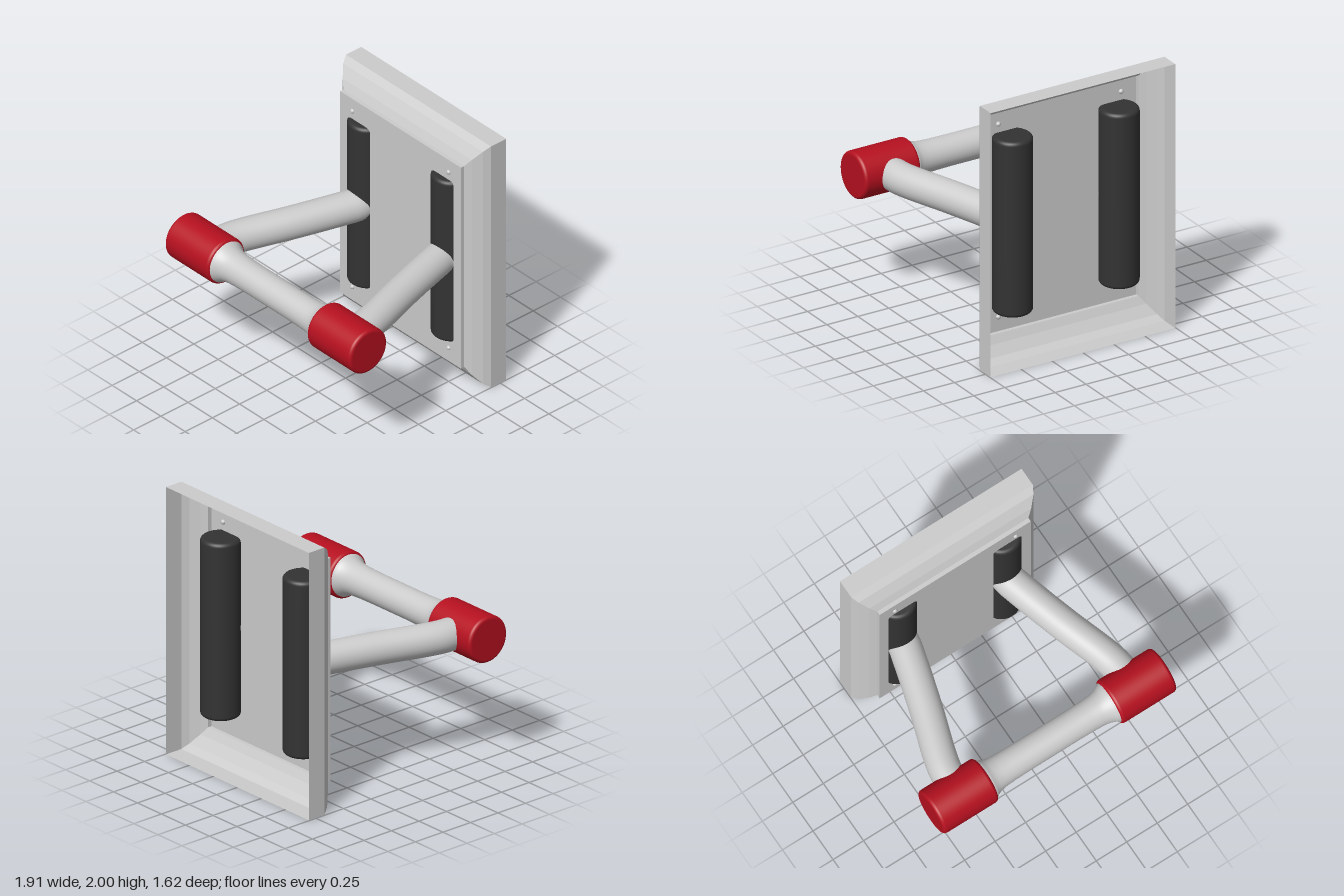
import * as THREE from 'three';

const grey = new THREE.MeshStandardMaterial({ color: 0xcccccc });
const greyShell = new THREE.MeshStandardMaterial({ color: 0xcccccc, flatShading: true, side: THREE.DoubleSide });
const red = new THREE.MeshStandardMaterial({ color: 0xb5101f });
const black = new THREE.MeshStandardMaterial({ color: 0x333333 });

const MID = 1; // height of the bar and centre of the plate
const BAR_Z = 0.64;

function add(parent, name, geometry, material, x = 0, y = 0, z = 0) {
  const mesh = new THREE.Mesh(geometry, material);
  mesh.name = name;
  mesh.position.set(x, y, z);
  parent.add(mesh);
  return mesh;
}

// Open rectangular shell from rings of [halfWidth, halfHeight, z], back to front
function shell(rings, capFront) {
  const corners = ([w, h, z]) => [[-w, -h, z], [w, -h, z], [w, h, z], [-w, h, z]];
  const pos = [];
  const quad = (a, b, c, d) => pos.push(...a, ...b, ...c, ...a, ...c, ...d);
  for (let r = 0; r < rings.length - 1; r++) {
    const a = corners(rings[r]), b = corners(rings[r + 1]);
    for (let i = 0; i < 4; i++) {
      const j = (i + 1) % 4;
      quad(a[i], a[j], b[j], b[i]);
    }
  }
  if (capFront) quad(...corners(rings[rings.length - 1]));
  const geometry = new THREE.BufferGeometry();
  geometry.setAttribute('position', new THREE.Float32BufferAttribute(pos, 3));
  geometry.computeVertexNormals();
  return geometry;
}

// Solid cylinder along y with small rounded rims
function roundedCylinder(radius, length, rim) {
  const pts = [new THREE.Vector2(0, -length / 2)];
  const arc = (cy, from) => {
    for (let i = 0; i <= 5; i++) {
      const a = from + (i / 5) * Math.PI / 2;
      pts.push(new THREE.Vector2(radius - rim + rim * Math.cos(a), cy + rim * Math.sin(a)));
    }
  };
  arc(-length / 2 + rim, -Math.PI / 2);
  arc(length / 2 - rim, 0);
  pts.push(new THREE.Vector2(0, length / 2));
  return new THREE.LatheGeometry(pts, 48);
}

export function createModel() {
  const model = new THREE.Group();
  model.name = 'wallMountedHandle';

  // Bevelled frame, open at the back
  const bevel = [[0, -0.81], [0, -0.67], [0.22, -0.62], [0.65, -0.566], [1, -0.535]];
  const frameRings = bevel.map(([t, z]) => [0.745 - 0.125 * t, 1 - 0.165 * t, z]);
  add(model, 'frame', shell(frameRings, false), greyShell, 0, MID, 0);

  // Raised front panel
  add(model, 'panel', shell([[0.62, 0.835, -0.535], [0.62, 0.835, -0.505]], true), greyShell, 0, MID, 0);

  // Grip bar, flaring out where it meets the end caps
  const half = [[0, 0.11], [0.18, 0.11], [0.32, 0.112], [0.4, 0.116], [0.45, 0.124], [0.485, 0.138], [0.505, 0.155], [0.56, 0.155]];
  const profile = [...half.slice(1).reverse().map(([l, r]) => [-l, r]), ...half];
  const bar = add(model, 'gripBar',
    new THREE.LatheGeometry(profile.map(([l, r]) => new THREE.Vector2(r, l)), 48), grey, 0, MID, BAR_Z);
  bar.rotation.z = Math.PI / 2;

  const capGeometry = roundedCylinder(0.172, 0.45, 0.025);
  const padGeometry = roundedCylinder(0.142, 1.33, 0.03);
  const screwGeometry = new THREE.SphereGeometry(0.018, 16, 12);

  for (const side of [1, -1]) {
    const label = side > 0 ? 'left' : 'right';

    // Red end cap
    const cap = add(model, label + 'EndCap', capGeometry, red, side * 0.73, MID, BAR_Z);
    cap.rotation.z = Math.PI / 2;

    // Dark vertical roller set through the panel
    add(model, label + 'Roller', padGeometry, black, side * 0.43, 1.005, -0.587);

    // Arm from roller to end cap
    const path = new THREE.CatmullRomCurve3(
      [[0.428, -0.58], [0.43, -0.49], [0.452, -0.4], [0.565, -0.01], [0.678, 0.34], [0.702, 0.45], [0.705, 0.6]]
        .map(([x, z]) => new THREE.Vector3(side * x, MID, z)));
    add(model, label + 'Arm', new THREE.TubeGeometry(path, 48, 0.117, 40), grey);

    // Screws near the panel corners
    for (const y of [0.275, 1.735]) add(model, label + 'Screw', screwGeometry, grey, side * 0.495, y, -0.507);
  }
  return model;
}
